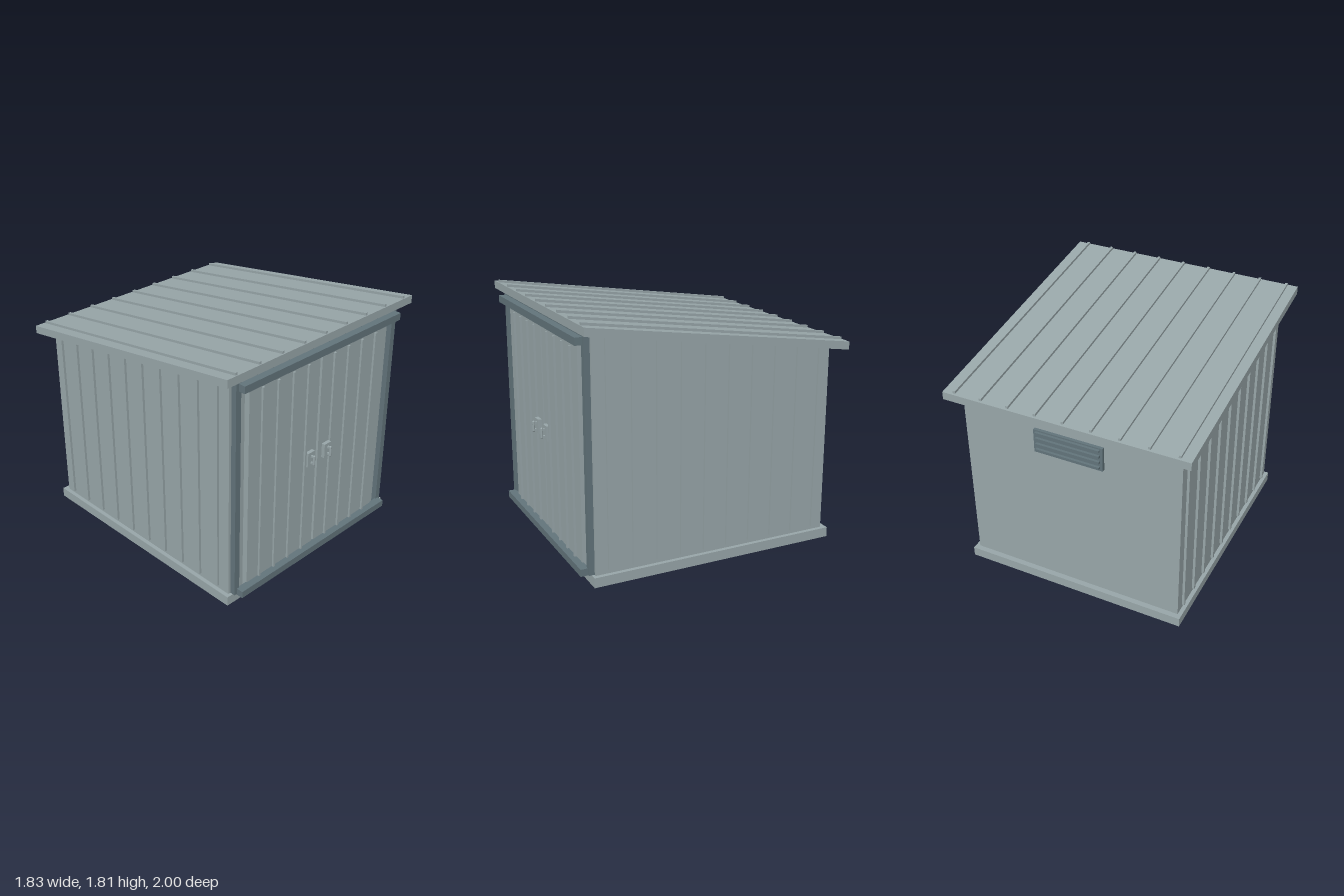
import * as THREE from 'three';

const panel = new THREE.MeshStandardMaterial({ color: 0x98a6a9 });
panel.name = 'pale grey panel';
const trim = new THREE.MeshStandardMaterial({ color: 0x62747b });
trim.name = 'slate trim';

// Height of the sloping roof surface at depth z
const roofY = (z) => 1.644 + 0.149 * z;
const ROOF_THICK = 0.058;

export function createModel() {
  const shed = new THREE.Group();
  shed.name = 'shed';

  const add = (name, geometry, material, parent = shed) => {
    const mesh = new THREE.Mesh(geometry, material);
    mesh.name = name;
    parent.add(mesh);
    return mesh;
  };
  // Box given by its minimum and maximum on each axis
  const box = (name, x0, x1, y0, y1, z0, z1, material, parent) => {
    const mesh = add(name, new THREE.BoxGeometry(x1 - x0, y1 - y0, z1 - z0), material, parent);
    mesh.position.set((x0 + x1) / 2, (y0 + y1) / 2, (z0 + z1) / 2);
    return mesh;
  };
  // Side profile of [z, y] points, extruded across x
  const sideProfile = (name, points, x0, x1, material, parent) => {
    const shape = new THREE.Shape(points.map(([z, y]) => new THREE.Vector2(z, y)));
    const geometry = new THREE.ExtrudeGeometry(shape, { depth: x1 - x0, bevelEnabled: false });
    geometry.rotateY(-Math.PI / 2).translate(x1, 0, 0);
    return add(name, geometry, material, parent);
  };
  // Slab running along the slope between two heights above the roof surface
  const slopeSlab = (name, z0, z1, low, high, x0, x1, parent) => sideProfile(name, [
    [z0, roofY(z0) + low], [z1, roofY(z1) + low],
    [z1, roofY(z1) + high], [z0, roofY(z0) + high],
  ], x0, x1, panel, parent);

  // Floor plinth and body
  box('base', -0.85, 0.85, 0, 0.072, -0.94, 0.922, panel);
  sideProfile('walls', [
    [-0.9, 0.07], [0.9, 0.07],
    [0.9, roofY(0.9) - ROOF_THICK], [-0.9, roofY(-0.9) - ROOF_THICK],
  ], -0.82, 0.82, panel);

  // Upright ribs on both side walls
  const wallRibs = new THREE.Group();
  wallRibs.name = 'wallRibs';
  shed.add(wallRibs);
  for (const side of [-1, 1]) {
    for (let i = 0; i < 10; i++) {
      const z = 0.8 - i * 0.1795;
      const top = roofY(z) - ROOF_THICK - 0.002;
      box('wallRib', side * 0.828 - 0.01, side * 0.828 + 0.01, 0.1, top, z - 0.011, z + 0.011, panel, wallRibs);
    }
  }

  // Sloping roof with standing seams
  const roof = new THREE.Group();
  roof.name = 'roof';
  shed.add(roof);
  slopeSlab('roofSheet', -1, 0.98, -ROOF_THICK, 0, -0.915, 0.915, roof);
  for (let i = -4; i <= 4; i++) {
    const x = i * 0.2075;
    slopeSlab('roofSeam', -0.985, 0.97, -0.004, 0.018, x - 0.009, x + 0.009, roof);
  }

  // Door frame and sliding tracks
  const frame = new THREE.Group();
  frame.name = 'doorFrame';
  shed.add(frame);
  for (const side of [-1, 1]) {
    box('framePost', side * 0.778 - 0.022, side * 0.778 + 0.022, 0.072, 1.715, 0.89, 0.94, trim, frame);
  }
  box('frameHead', -0.757, 0.757, 1.66, 1.715, 0.89, 0.938, trim, frame);
  box('topTrack', -0.778, 0.778, 1.648, 1.7, 0.932, 0.992, trim, frame);
  box('bottomTrack', -0.778, 0.778, 0.066, 0.118, 0.932, 0.992, trim, frame);

  // Pair of ribbed doors with pull handles
  for (const side of [-1, 1]) {
    const door = new THREE.Group();
    door.name = side > 0 ? 'leftDoor' : 'rightDoor';
    shed.add(door);
    const centre = side * 0.347;
    box('doorPanel', centre - 0.336, centre + 0.336, 0.08, 1.635, 0.895, 0.94, panel, door);
    for (let i = 0; i < 4; i++) {
      const x = side * (0.131 + i * 0.145);
      box('doorRib', x - 0.008, x + 0.008, 0.11, 1.602, 0.935, 0.955, panel, door);
    }
    const hx = side * 0.087;
    box('handlePlate', hx - 0.034, hx + 0.034, 0.812, 0.922, 0.938, 0.967, panel, door);
    for (const y of [0.84, 0.892]) {
      box('handleStem', hx - 0.007, hx + 0.007, y - 0.007, y + 0.007, 0.96, 0.992, panel, door);
    }
    const grip = add('handleGrip', new THREE.CapsuleGeometry(0.009, 0.066, 4, 12), panel, door);
    grip.position.set(hx, 0.866, 0.991);
  }

  // Louvred vent high on the back wall
  const vent = new THREE.Group();
  vent.name = 'vent';
  shed.add(vent);
  box('ventPlate', -0.26, 0.26, 1.158, 1.34, -0.923, -0.895, trim, vent);
  for (let i = 0; i < 4; i++) {
    const y = 1.186 + i * 0.045;
    box('ventSlat', -0.24, 0.24, y - 0.009, y + 0.009, -0.942, -0.92, trim, vent);
  }

  return shed;
}
